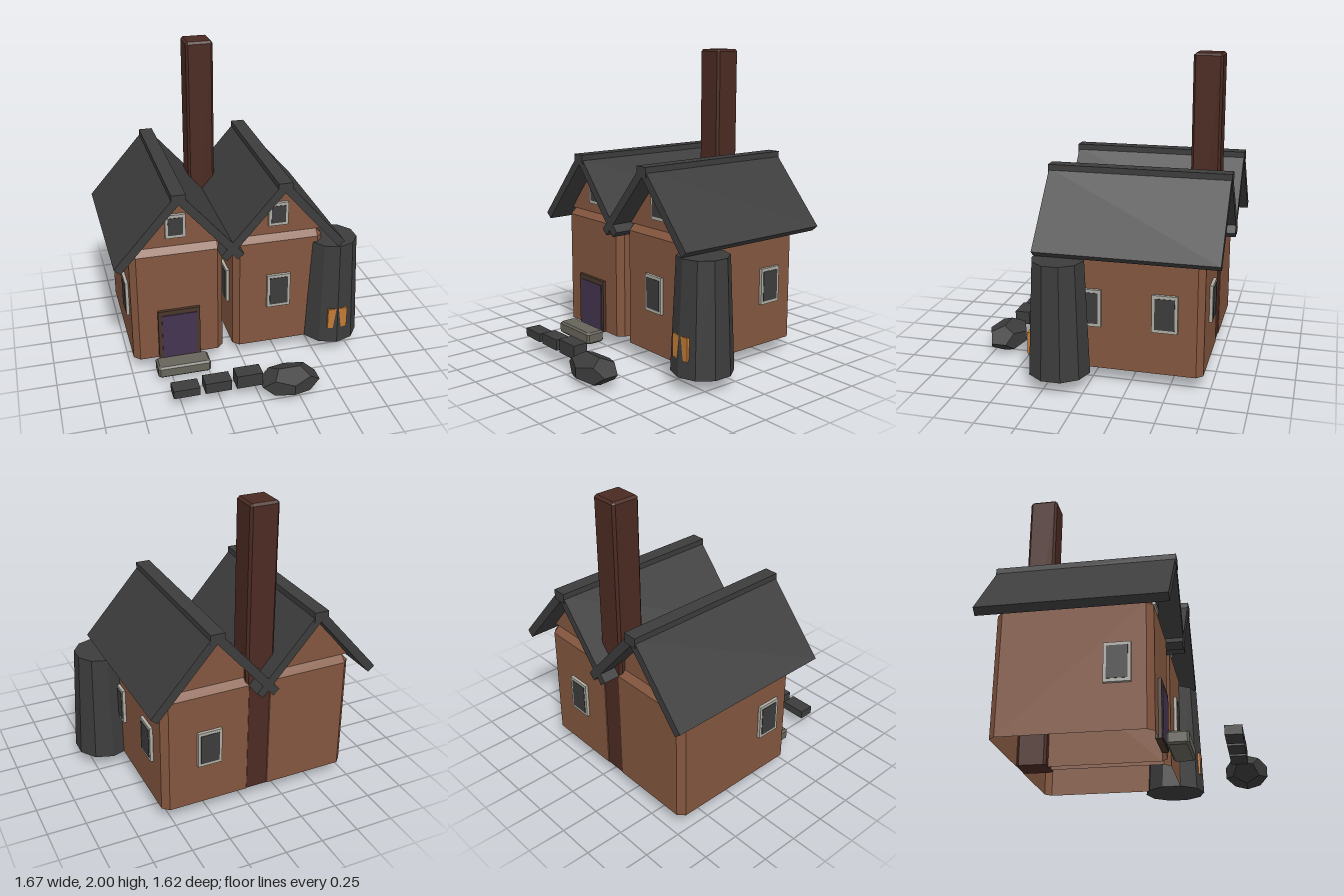
import * as THREE from 'three';

const mat = (name, color, side = THREE.FrontSide) => {
  const m = new THREE.MeshStandardMaterial({ color, side, flatShading: true });
  m.name = name;
  return m;
};

// Lofts chamfered rectangles: each level is [y, halfWidth, halfDepth, chamfer]
function loft(levels, closedBottom) {
  const rings = levels.map(([y, w, d, c]) => [
    [w, -d + c], [w, d - c], [w - c, d], [-w + c, d],
    [-w, d - c], [-w, -d + c], [-w + c, -d], [w - c, -d],
  ].map(([x, z]) => [x, y, z]));
  const pos = [];
  const tri = (a, b, c) => pos.push(...a, ...b, ...c);
  for (let k = 0; k + 1 < rings.length; k++) {
    for (let i = 0; i < 8; i++) {
      const j = (i + 1) % 8, lo = rings[k], hi = rings[k + 1];
      tri(lo[i], hi[i], lo[j]);
      tri(lo[j], hi[i], hi[j]);
    }
  }
  const top = rings[rings.length - 1], bottom = rings[0];
  for (let i = 1; i < 7; i++) {
    tri(top[0], top[i + 1], top[i]);
    if (closedBottom) tri(bottom[0], bottom[i], bottom[i + 1]);
  }
  const g = new THREE.BufferGeometry();
  g.setAttribute('position', new THREE.Float32BufferAttribute(pos, 3));
  g.computeVertexNormals();
  return g;
}

export function createModel() {
  const brick = mat('brick', 0x83563f, THREE.DoubleSide);
  const slate = mat('dark slate', 0x3c3c3c);
  const chimneyBrick = mat('dark red brick', 0x4b2a22);
  const pale = mat('pale frame', 0xaeaca3);
  const purple = mat('purple door', 0x44334f);
  const wood = mat('dark wood', 0x4a362b);
  const stepStone = mat('step stone', 0x66645a);
  const amber = mat('amber', 0xc27a33);

  const model = new THREE.Group();
  model.name = 'cottage';
  const add = (parent, name, geometry, material, x = 0, y = 0, z = 0) => {
    const m = new THREE.Mesh(geometry, material);
    m.name = name;
    m.position.set(x, y, z);
    parent.add(m);
    return m;
  };
  const box = (parent, name, material, x0, x1, y0, y1, z0, z1) =>
    add(parent, name, new THREE.BoxGeometry(x1 - x0, y1 - y0, z1 - z0), material,
      (x0 + x1) / 2, (y0 + y1) / 2, (z0 + z1) / 2);

  // Window whose back sits on a wall and faces along the turned +z axis
  const addWindow = (x, y, z, turn, w = 0.16, h = 0.24) => {
    const g = new THREE.Group();
    g.name = 'window';
    g.position.set(x, y, z);
    g.rotation.y = turn;
    box(g, 'windowFrame', pale, -w / 2, w / 2, -h / 2, h / 2, -0.02, 0.02);
    box(g, 'windowPane', slate, -w / 2 + 0.018, w / 2 - 0.018, -h / 2 + 0.02, h / 2 - 0.02, 0.016, 0.023);
    model.add(g);
  };

  // Two matching gabled wings, walls open underneath
  const midZ = -0.235, halfW = 0.305, halfD = 0.47, bevel = 0.04;
  const wallGeo = loft([
    [0.09, halfW, halfD, bevel],
    [0.855, halfW, halfD, bevel],
    [0.895, halfW - bevel, halfD - bevel, 0],
  ], false);
  const gableShape = new THREE.Shape();
  gableShape.moveTo(-0.303, 0.893);
  gableShape.lineTo(0.303, 0.893);
  gableShape.lineTo(0, 1.255);
  const gableGeo = new THREE.ExtrudeGeometry(gableShape, { depth: 0.86, bevelEnabled: false });
  const slabGeo = new THREE.BoxGeometry(0.578, 0.055, 1.15);
  const slope = Math.atan2(0.435, 0.38);

  for (const x of [-0.425, 0.255]) {
    const wing = new THREE.Group();
    wing.name = 'wing';
    wing.position.x = x;
    model.add(wing);
    add(wing, 'walls', wallGeo, brick, 0, 0, midZ);
    add(wing, 'gable', gableGeo, brick, 0, 0, -0.665);
    for (const s of [-1, 1]) {
      add(wing, 'roofSlope', slabGeo, slate, s * 0.205, 1.0525, midZ).rotation.z = -s * slope;
    }
    box(wing, 'ridgeCap', slate, -0.046, 0.046, 1.25, 1.314, -0.815, 0.345);
    addWindow(x, 1.04, 0.197, 0, 0.132, 0.16);
  }

  // Ground floor windows
  const q = Math.PI / 2;
  addWindow(0.255, 0.49, 0.235, 0);
  addWindow(0.255, 0.49, -0.705, Math.PI);
  addWindow(0.56, 0.49, -0.468, q);
  addWindow(0.56, 0.49, 0.01, q);
  addWindow(-0.05, 0.49, 0.03, -q);
  addWindow(-0.12, 0.49, 0.03, q);
  addWindow(-0.73, 0.49, 0.03, -q);

  // Door and step
  box(model, 'doorFrame', wood, -0.565, -0.285, 0.09, 0.45, 0.215, 0.255);
  box(model, 'door', purple, -0.54, -0.307, 0.095, 0.417, 0.252, 0.26);
  add(model, 'doorStep', loft([
    [0.04, 0.163, 0.053, 0.01], [0.052, 0.175, 0.065, 0.012],
    [0.108, 0.175, 0.065, 0.012], [0.12, 0.163, 0.053, 0.01],
  ], true), stepStone, -0.425, 0, 0.345);

  // Chimney between the wings
  add(model, 'chimney', loft([
    [0.09, 0.093, 0.093, 0.015],
    [1.985, 0.093, 0.093, 0.015],
    [2.0, 0.078, 0.078, 0],
  ], true), chimneyBrick, -0.086, 0, -0.608);

  // Tapered ten-sided stump with glowing openings
  add(model, 'stump', new THREE.CylinderGeometry(0.165, 0.197, 0.725, 10), slate, 0.643, 0.4525, 0.178);
  box(model, 'leftOpening', amber, 0.653, 0.711, 0.2, 0.347, 0.33, 0.361);
  box(model, 'rightOpening', amber, 0.576, 0.634, 0.2, 0.347, 0.33, 0.361);

  // Garden stones rising toward the boulder
  [[-0.56, 0.145], [-0.356, 0.162], [-0.152, 0.18]].forEach(([x, top]) =>
    box(model, 'pathStone', slate, x, x + 0.17, 0.09, top, 0.6, 0.7));
  const boulder = new THREE.DodecahedronGeometry(1);
  boulder.scale(0.203, 0.0942, 0.136);
  add(model, 'boulder', boulder, slate, 0.2, 0.088, 0.682);

  return model;
}
